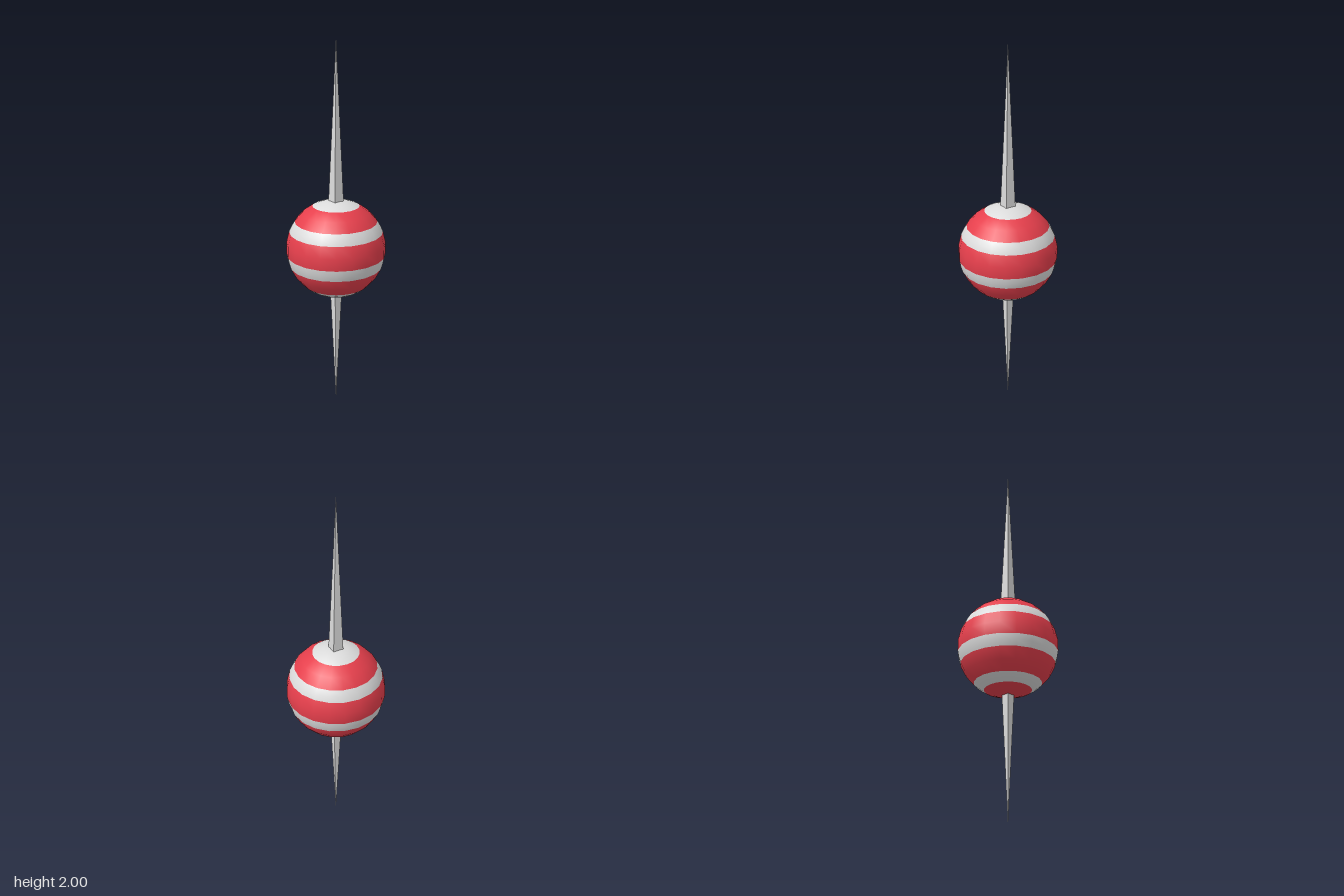
import * as THREE from 'three';

export function createModel() {
  const model = new THREE.Group();
  const red = new THREE.MeshStandardMaterial({ name: 'red', color: 0xe63f4c });
  const paleGrey = new THREE.MeshStandardMaterial({ name: 'paleGrey', color: 0xdcdcdc });

  // Striped ball: 13 rings in all, shared out from top to bottom
  const ball = new THREE.Group();
  ball.name = 'ball';
  ball.position.y = 0.911;
  model.add(ball);
  const radius = 0.262, sides = 20, step = Math.PI / 13;
  let ring = 0;
  [2, 2, 1, 2, 1, 2, 1, 2].forEach((rings, i) => {
    const band = new THREE.Mesh(
      new THREE.SphereGeometry(radius, sides, rings, 0, Math.PI * 2, ring * step, rings * step),
      i % 2 ? red : paleGrey);
    band.name = (i % 2 ? 'redBand' : 'paleBand') + (Math.floor(i / 2) + 1);
    ball.add(band);
    ring += rings;
  });

  // Four-sided spikes meeting inside the ball, sides square to the axes
  const spikeMat = paleGrey.clone();
  spikeMat.name = 'spikeGrey';
  spikeMat.flatShading = true;
  for (const up of [true, false]) {
    const geo = new THREE.ConeGeometry(0.0334 * Math.SQRT2, 1, 4, 1, true).toNonIndexed();
    geo.rotateY(Math.PI / 4);
    if (!up) geo.rotateX(Math.PI);
    geo.translate(0, up ? 1.5 : 0.5, 0);
    geo.computeVertexNormals();
    const spike = new THREE.Mesh(geo, spikeMat);
    spike.name = up ? 'upperSpike' : 'lowerSpike';
    model.add(spike);
  }
  return model;
}
